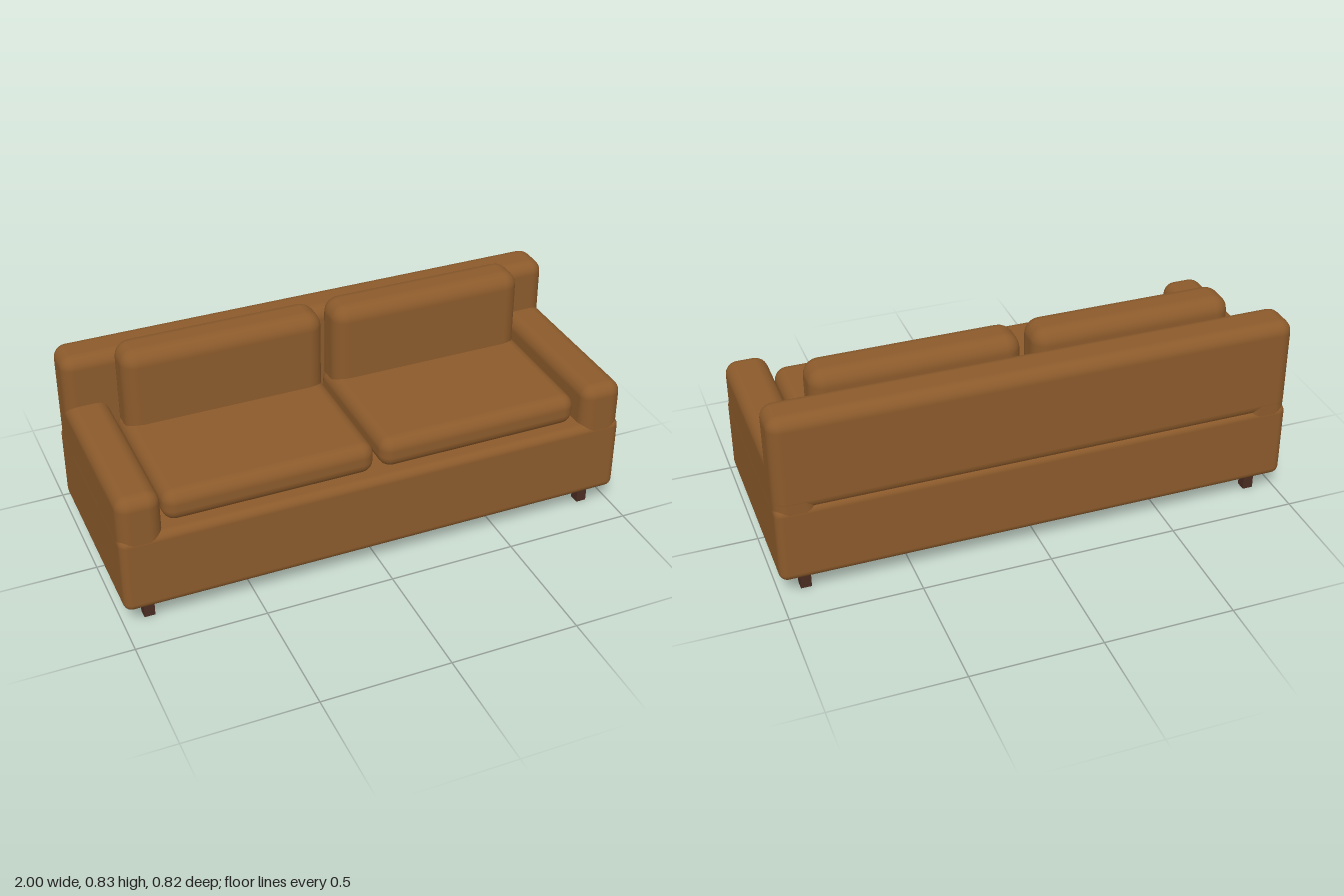
import * as THREE from 'three';
import { RoundedBoxGeometry } from 'three/addons/geometries/RoundedBoxGeometry.js';

export function createModel() {
  const sofa = new THREE.Group();
  sofa.name = 'sofa';
  const leather = new THREE.MeshStandardMaterial({ color: 0x8b5a2b });
  leather.name = 'brown leather';
  const wood = new THREE.MeshStandardMaterial({ color: 0x4a2c22 });
  wood.name = 'dark wood';

  // Rounded block given by its [min, max] extent on each axis
  function pad(name, [x0, x1], [y0, y1], [z0, z1], radius) {
    const geometry = new RoundedBoxGeometry(x1 - x0, y1 - y0, z1 - z0, 3, radius);
    const mesh = new THREE.Mesh(geometry, leather);
    mesh.name = name;
    mesh.position.set((x0 + x1) / 2, (y0 + y1) / 2, (z0 + z1) / 2);
    sofa.add(mesh);
  }

  // Frame: the base and the backrest across the full width
  pad('base', [-1, 1], [0.085, 0.402], [-0.408, 0.408], 0.032);
  pad('backrest', [-0.999, 0.999], [0.375, 0.767], [-0.408, -0.241], 0.05);

  for (const [side, s] of [['left', 1], ['right', -1]]) {
    const span = (a, b) => (s > 0 ? [a, b] : [-b, -a]);
    pad(`${side}Armrest`, span(0.835, 0.999), [0.13, 0.567], [-0.407, 0.407], 0.05);
    pad(`${side}SeatCushion`, span(0.012, 0.82), [0.4, 0.525], [-0.24, 0.37], 0.05);
    pad(`${side}BackCushion`, span(0.022, 0.808), [0.42, 0.826], [-0.258, -0.092], 0.06);

    // Square legs at the front and back
    for (const [end, z] of [['Front', 0.326], ['Back', -0.326]]) {
      const leg = new THREE.Mesh(new THREE.BoxGeometry(0.041, 0.1, 0.041), wood);
      leg.name = `${side}${end}Leg`;
      leg.position.set(s * 0.898, 0.05, z);
      sofa.add(leg);
    }
  }
  return sofa;
}
